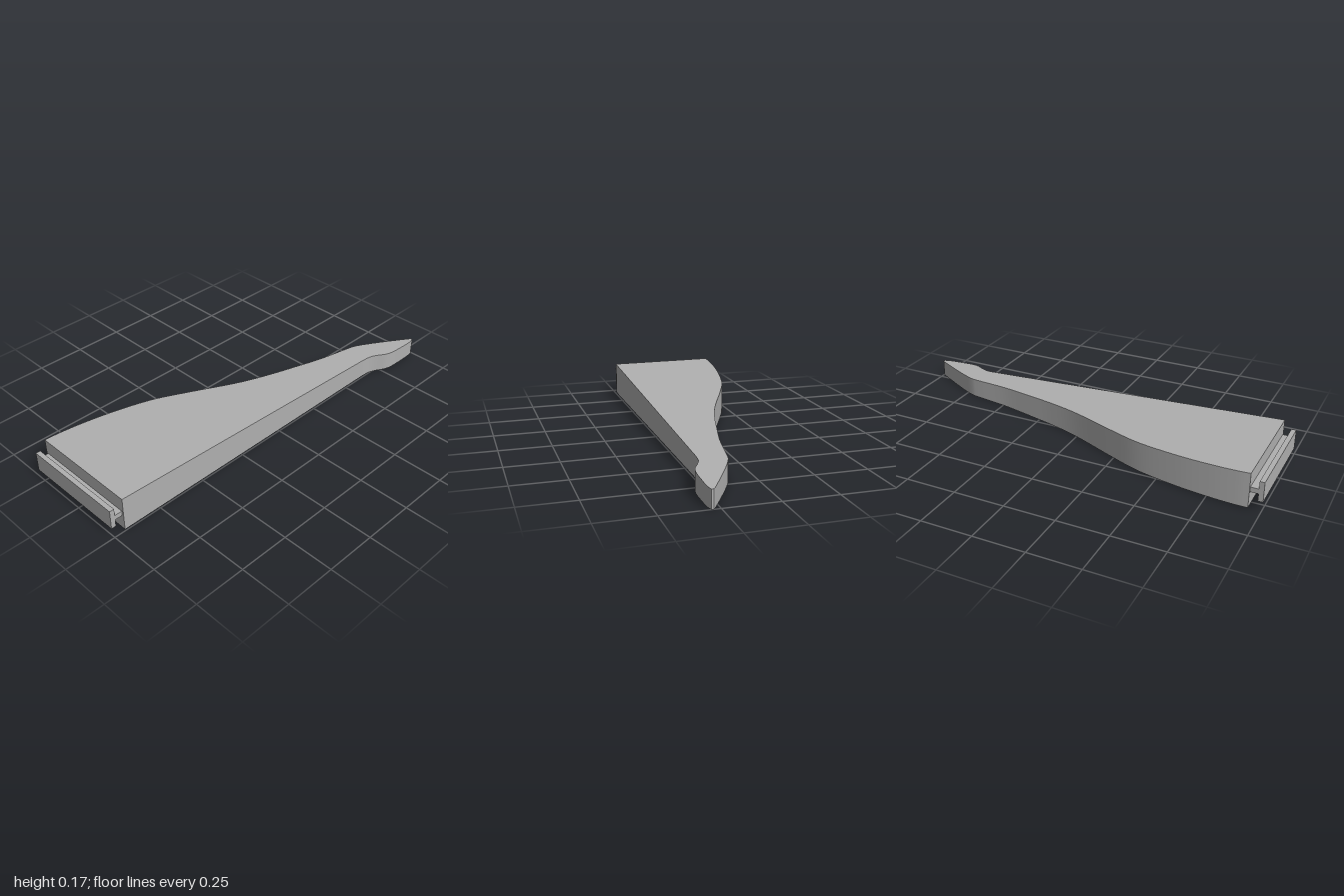
import * as THREE from 'three';
import { toCreasedNormals } from 'three/addons/utils/BufferGeometryUtils.js';

const ROOT = -0.94;
const topHeight = (x) => 0.17 - ((x - ROOT) / (1 - ROOT)) * 0.087;
const toPoints = (list) => list.map(([x, z]) => new THREE.Vector2(x, -z));

export function createModel() {
  const grey = new THREE.MeshStandardMaterial({ color: 0xb0b0b0 });
  grey.name = 'grey';
  const group = new THREE.Group();
  group.name = 'taperedArm';

  // Plan outline: straight front edge, hooked tip, sweeping rear edge
  const outline = new THREE.Shape();
  outline.moveTo(ROOT, -0.243);
  outline.lineTo(0.64, -0.243);
  outline.splineThru(toPoints([
    [0.69, 0.247], [0.73, 0.262], [0.775, 0.286], [0.82, 0.296],
    [0.9, 0.298], [0.96, 0.297], [0.99, 0.293], [1, 0.289],
  ]));
  outline.lineTo(1, -0.28);
  outline.splineThru(toPoints([
    [0.985, 0.269], [0.9, 0.22], [0.8, 0.165], [0.72, 0.127], [0.66, 0.113], [0.487, 0.085],
    [0.33, 0.047], [0.166, 0.004], [0, -0.052], [-0.235, -0.156], [-0.4, -0.222],
    [-0.6, -0.268], [-0.76, -0.291], [-0.88, -0.3], [ROOT, -0.3],
  ]));
  outline.closePath();

  // Extrude to unit height, then scale the height so the top slopes to the tip
  const blade = new THREE.ExtrudeGeometry(outline, { depth: 1, bevelEnabled: false, curveSegments: 5 });
  blade.rotateX(-Math.PI / 2);
  const p = blade.attributes.position;
  for (let i = 0; i < p.count; i++) p.setY(i, p.getY(i) * topHeight(p.getX(i)));
  const body = new THREE.Mesh(toCreasedNormals(blade, 0.5), grey);
  body.name = 'blade';
  group.add(body);

  // T-shaped mounting rail at the wide end
  const addBox = (name, x0, x1, y0, y1) => {
    const mesh = new THREE.Mesh(new THREE.BoxGeometry(x1 - x0, y1 - y0, 0.523), grey);
    mesh.position.set((x0 + x1) / 2, (y0 + y1) / 2, -0.0285);
    mesh.name = name;
    group.add(mesh);
  };
  addBox('railFlange', -1, -0.977, 0.038, 0.135);
  addBox('railWeb', -0.977, ROOT, 0.074, 0.098);
  return group;
}
